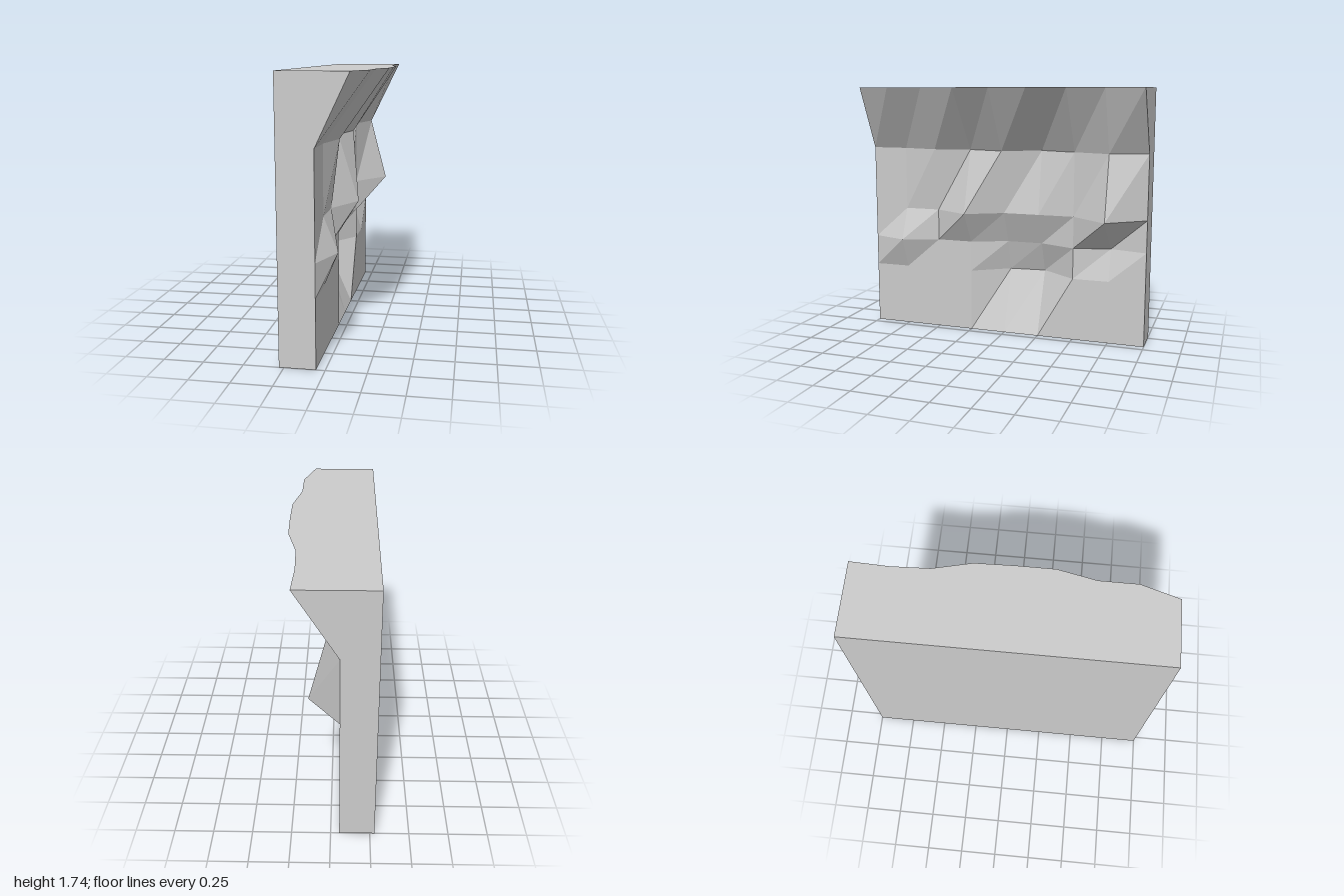
import * as THREE from 'three';

const BACK = -0.28;
const FLAT = -0.055;
const TOP = 1.74;
// Heights of the rows of the rock face; columns run from z = 1 to z = -1.
const ROWS = [0, 0.435, 0.65, 0.87, 1.31, TOP];
const COLS = 8;
// Relief of each row relative to the flat plane of the face.
const RELIEF = [
  [0, 0, 0, 0, 0, 0, 0, 0, 0],
  [0, 0, 0, 0, -0.165, -0.19, 0, 0, 0],
  [0, 0.09, 0, 0, -0.1, -0.1, 0, -0.065, 0],
  [0, 0, 0, 0.135, 0, 0, 0, 0.195, 0],
  [0, 0, 0.055, 0, 0.06, -0.08, 0, 0.08, 0],
  [0.205, 0.28, 0.28, 0.332, 0.332, 0.325, 0.265, 0.255, 0.265],
];

const zAt = (i) => 1 - (2 * i) / COLS;
const front = (i, j) => [FLAT + RELIEF[j][i], ROWS[j], zAt(i)];
const back = (i, j) => [BACK, ROWS[j], zAt(i)];

// Flat-shaded mesh from quads with corners given counter-clockwise.
function quadMesh(name, quads) {
  const pos = quads.flatMap(([a, b, c, d]) => [a, b, c, a, c, d].flat());
  const geometry = new THREE.BufferGeometry();
  geometry.setAttribute('position', new THREE.Float32BufferAttribute(pos, 3));
  geometry.computeVertexNormals();
  const material = new THREE.MeshStandardMaterial({ color: 0xcccccc, flatShading: true });
  const mesh = new THREE.Mesh(geometry, material);
  mesh.name = name;
  return mesh;
}

export function createModel() {
  const group = new THREE.Group();
  group.name = 'rockWall';
  const last = ROWS.length - 1;
  const face = [], ends = [], caps = [];

  // Craggy front face
  for (let j = 0; j < last; j++)
    for (let i = 0; i < COLS; i++)
      face.push([front(i, j), front(i + 1, j), front(i + 1, j + 1), front(i, j + 1)]);

  // Both ends, following the overhang
  for (let j = 0; j < last; j++) {
    ends.push([back(0, j), front(0, j), front(0, j + 1), back(0, j + 1)]);
    ends.push([front(COLS, j), back(COLS, j), back(COLS, j + 1), front(COLS, j + 1)]);
  }

  // Top and underside
  for (let i = 0; i < COLS; i++) {
    caps.push([back(i, last), front(i, last), front(i + 1, last), back(i + 1, last)]);
    caps.push([front(i, 0), back(i, 0), back(i + 1, 0), front(i + 1, 0)]);
  }

  group.add(
    quadMesh('rockFace', face),
    quadMesh('wallEnds', ends),
    quadMesh('topAndBase', caps),
    quadMesh('flatBack', [[back(COLS, 0), back(0, 0), back(0, last), back(COLS, last)]]),
  );
  return group;
}
